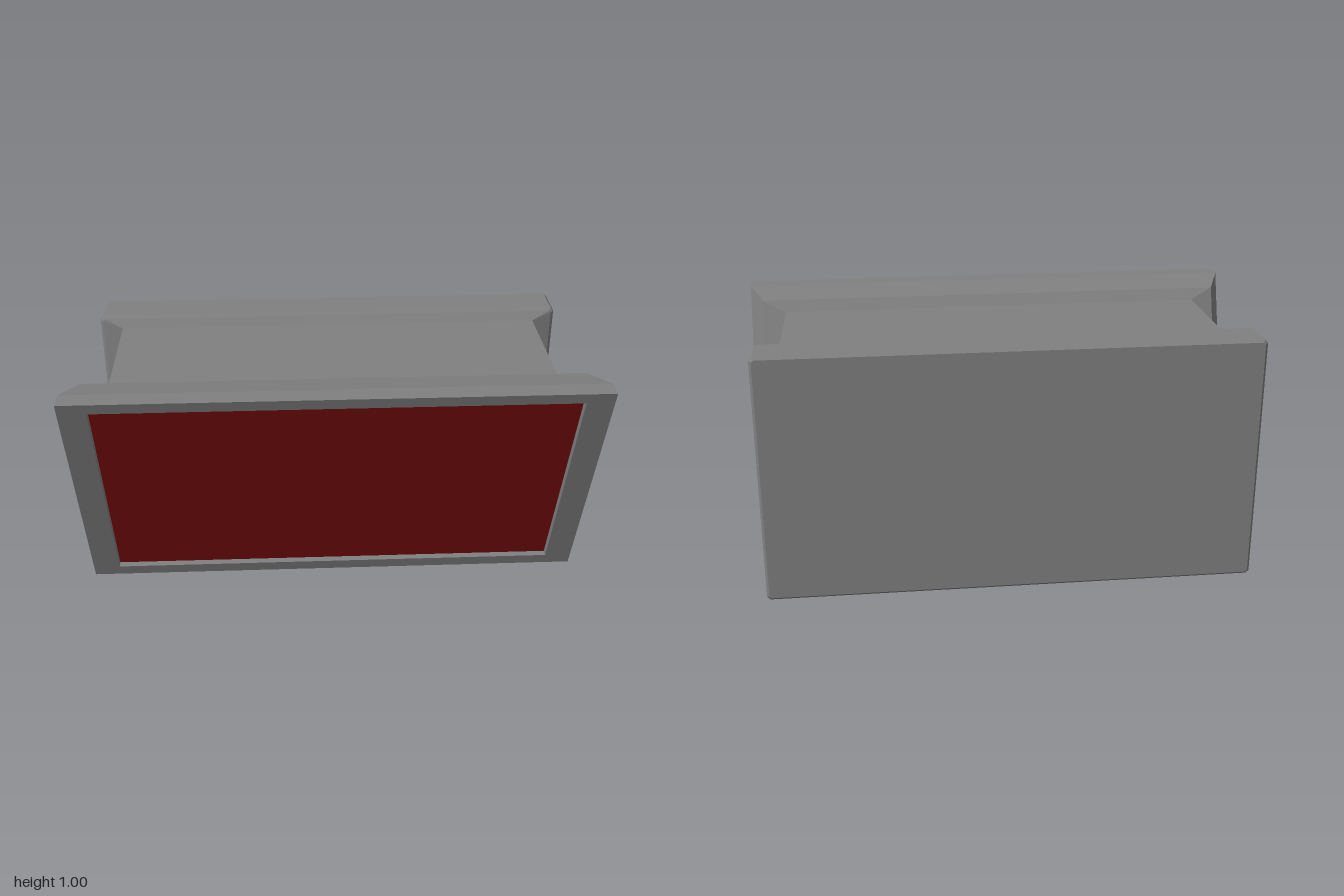
import * as THREE from 'three';

// Rectangular ring, counter-clockwise from the front: half width, bottom, top,
// depth at bottom, depth at top, corner chamfer
function ring([w, y0, y1, z0, z1 = z0, c = 0]) {
  const corners = c
    ? [[w, y0 + c], [w, y1 - c], [w - c, y1], [c - w, y1], [-w, y1 - c], [-w, y0 + c], [c - w, y0], [w - c, y0]]
    : [[w, y0], [w, y0], [w, y1], [w, y1], [-w, y1], [-w, y1], [-w, y0], [-w, y0]];
  // chamfered and square rings share the same eight-point order
  if (c) corners.unshift(corners.pop());
  return corners.map(([x, y]) => new THREE.Vector3(x, y, z0 + (z1 - z0) * (y - y0) / (y1 - y0)));
}

// Flat-faced skin through rings listed from front to back
function loft(specs, { frontCap = false, backCap = false } = {}) {
  const rings = specs.map(ring);
  const pos = [];
  const tri = (a, b, c) => {
    const area = b.clone().sub(a).cross(c.clone().sub(a)).length();
    if (area > 1e-9) for (const p of [a, b, c]) pos.push(p.x, p.y, p.z);
  };
  for (let r = 0; r + 1 < rings.length; r++) {
    const a = rings[r], b = rings[r + 1];
    for (let i = 0; i < 8; i++) {
      const j = (i + 1) % 8;
      tri(a[i], b[i], a[j]);
      tri(a[j], b[i], b[j]);
    }
  }
  const first = rings[0], last = rings[rings.length - 1];
  for (let i = 1; i < 7; i++) {
    if (frontCap) tri(first[0], first[i], first[i + 1]);
    if (backCap) tri(last[0], last[i + 1], last[i]);
  }
  const g = new THREE.BufferGeometry();
  g.setAttribute('position', new THREE.Float32BufferAttribute(pos, 3));
  g.computeVertexNormals();
  return g;
}

export function createModel() {
  const grey = new THREE.MeshStandardMaterial({ color: 0x808080 });
  grey.name = 'grey casing';
  const red = new THREE.MeshStandardMaterial({ color: 0x7b0c0c });
  red.name = 'dark red panel';

  const group = new THREE.Group();
  group.name = 'slantedDisplayBox';
  const add = (name, geometry, material) => {
    const mesh = new THREE.Mesh(geometry, material);
    mesh.name = name;
    group.add(mesh);
  };

  // Opening and recessed panel follow the slanted front plane
  const recess = [0.895, 0.05, 0.955, 0.118, 0.444];
  const opening = [0.895, 0.05, 0.955, 0.148, 0.474];
  const neckFront = [0.85, 0.075, 0.93, -0.068, 0.242];
  const neckBack = [0.85, 0.075, 0.93, -0.303];

  add('frontPanel', loft([recess], { frontCap: true }), red);
  add('frontFrame', loft([
    recess,
    opening,
    [1, 0, 1, 0.13, 0.49],
    [1, 0, 1, 0.05, 0.41],
    [0.942, 0.03, 0.973, -0.068, 0.272],
    neckFront,
  ]), grey);
  add('neck', loft([neckFront, neckBack]), grey);

  // Rear cover flares out of the neck and has softened edges
  add('rearCover', loft([
    neckBack,
    [0.93, 0.015, 0.963, -0.325, -0.325, 0.008],
    [0.942, 0.005, 0.973, -0.335, -0.335, 0.012],
    [0.942, 0.005, 0.973, -0.48, -0.48, 0.012],
    [0.932, 0.015, 0.963, -0.49, -0.49, 0.008],
  ], { backCap: true }), grey);

  return group;
}
